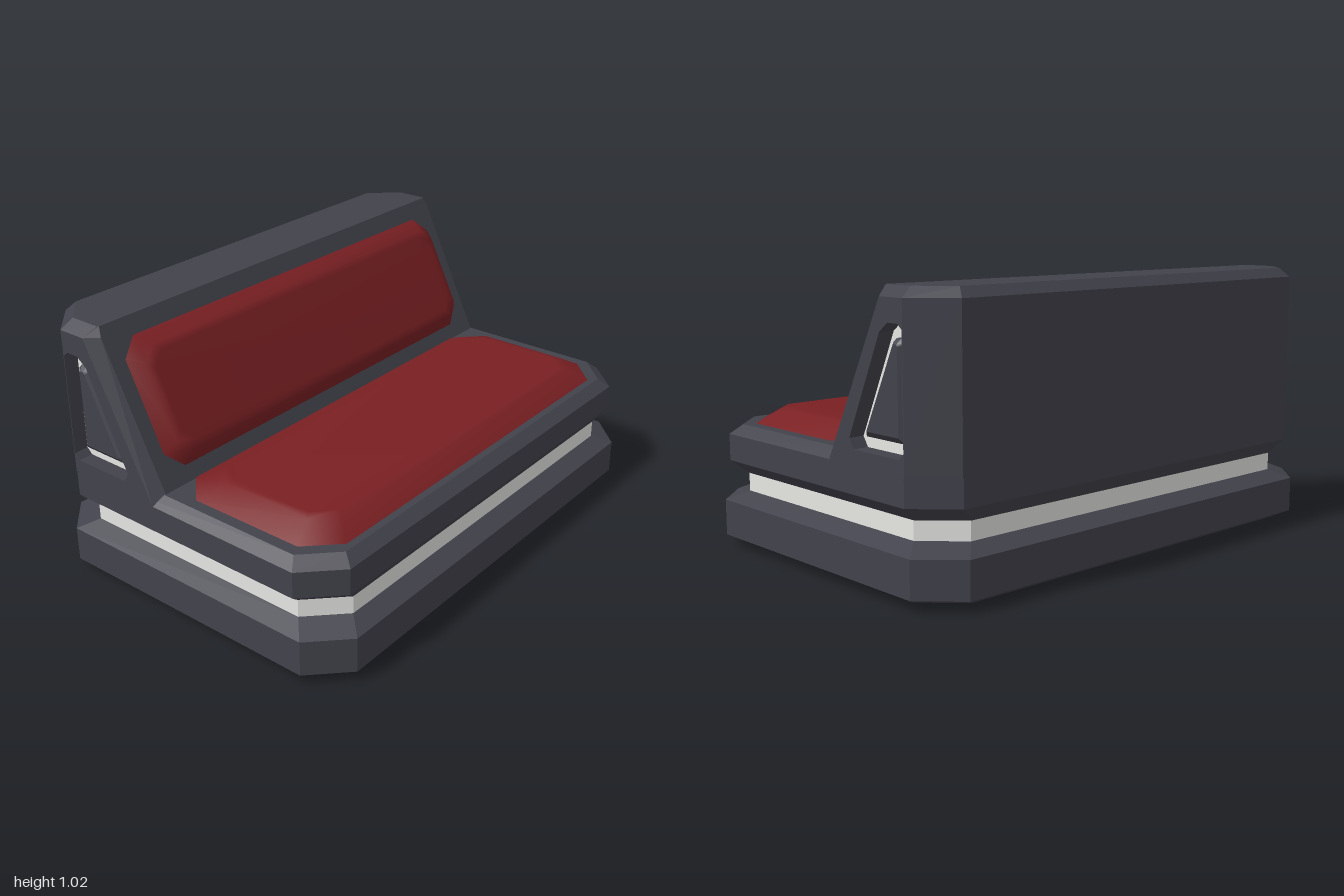
import * as THREE from 'three';

// Symmetric cross-section at height y from its +x half, listed front to back
const section = (y, half) => [
  ...half.map(([x, z]) => [x, y, z]),
  ...[...half].reverse().map(([x, z]) => [-x, y, z]),
];

// Rectangle with cut corners
const octagon = (y, hx, zFront, zBack, c) => section(y, [
  [hx - c, zFront], [hx, zFront - c], [hx, zBack + c], [hx - c, zBack],
]);

// Centred octagon ring of the body, all depths following the width
const ring = (y, hx, c = 0.13) => octagon(y, hx, hx - 0.31, 0.31 - hx, c);

// Loop of [depth, height] points on a side plane; s is the side's sign
const sideLoop = (x, s, list) => {
  const loop = list.map(([d, y]) => [x * s, y, -d]);
  return s > 0 ? loop : loop.reverse();
};

// Skin a list of sections; skip(row, side) leaves openings
function loft(sections, { bottom = false, top = false, smooth = false, skip = () => false } = {}) {
  const n = sections[0].length;
  const index = [];
  for (let r = 0; r < sections.length - 1; r++) {
    for (let i = 0; i < n; i++) {
      if (skip(r, i)) continue;
      const a = r * n + i, b = r * n + (i + 1) % n;
      index.push(a, b, b + n, a, b + n, a + n);
    }
  }
  const last = (sections.length - 1) * n;
  for (let i = 1; i < n - 1; i++) {
    if (bottom) index.push(0, i + 1, i);
    if (top) index.push(last, last + i, last + i + 1);
  }
  let geo = new THREE.BufferGeometry();
  geo.setAttribute('position', new THREE.Float32BufferAttribute(sections.flat(2), 3));
  geo.setIndex(index);
  if (!smooth) geo = geo.toNonIndexed();
  geo.computeVertexNormals();
  return geo;
}

export function createModel() {
  const group = new THREE.Group();
  const material = (name, color) => {
    const m = new THREE.MeshStandardMaterial({ color });
    m.name = name;
    return m;
  };
  const frame = material('charcoal frame', 0x42424c);
  const trim = material('pale trim', 0xe6e6e3);
  const fabric = material('red upholstery', 0x7a2023);
  const add = (name, geo, mat) => {
    const mesh = new THREE.Mesh(geo, mat);
    mesh.name = name;
    group.add(mesh);
    return mesh;
  };

  // Hollow plinth: a thin shell, inner face first
  add('base', loft([
    ring(0.21, 0.895),
    ring(0.165, 0.96),
    ring(0.05, 0.96),
    ring(0, 0.905),
    ring(0, 0.92),
    ring(0.04, 1, 0.135),
    ring(0.175, 1, 0.135),
    ring(0.21, 0.932),
    ring(0.21, 0.895),
  ]), frame);

  // Recessed pale band, also seen from inside
  add('band', loft([
    ring(0.28, 0.895), ring(0.21, 0.895), ring(0.21, 0.932), ring(0.28, 0.932),
  ]), trim);

  // Pale strip lining the inside of the plinth
  add('innerStrip', loft([ring(0.16, 0.955), ring(0.135, 0.955)]), trim);

  // Seat shell with a hollow underside
  add('seat', loft([
    ring(0.425, 0.93),
    ring(0.335, 0.955),
    ring(0.278, 0.895),
    ring(0.278, 0.932),
    octagon(0.33, 0.992, 0.657, -0.655, 0.133),
    octagon(0.43, 0.992, 0.657, -0.655, 0.133),
    octagon(0.465, 0.95, 0.615, -0.62, 0.12),
  ], { bottom: true, top: true }), frame);

  // Sloping backrest, left open where the side panels fit
  add('backrest', loft([
    section(0.43, [[0.945, -0.083], [0.992, -0.12], [0.992, -0.525], [0.862, -0.655]]),
    section(0.99, [[0.95, -0.363], [0.992, -0.41], [0.992, -0.525], [0.862, -0.655]]),
    section(1.025, [[0.94, -0.38], [0.945, -0.385], [0.945, -0.51], [0.84, -0.62]]),
  ], { top: true, skip: (r, i) => r === 0 && (i === 1 || i === 5) }), frame);

  // Side panels: pocket, pale floor and raised triangular insert
  const rim = [[0.12, 0.43], [0.12, 0.43], [0.525, 0.43], [0.525, 0.43],
    [0.525, 0.99], [0.525, 0.99], [0.41, 0.99], [0.41, 0.99]];
  const pocket = [[0.237, 0.518], [0.26, 0.483], [0.5, 0.483], [0.522, 0.505],
    [0.522, 0.893], [0.5, 0.91], [0.45, 0.91], [0.408, 0.878]];
  const insert = [[0.283, 0.525], [0.49, 0.525], [0.49, 0.845], [0.475, 0.86],
    [0.45, 0.86], [0.432, 0.845], [0.283, 0.545]];
  const insertTop = [[0.308, 0.545], [0.472, 0.545], [0.472, 0.835], [0.468, 0.842],
    [0.453, 0.842], [0.447, 0.835], [0.308, 0.552]];
  for (const s of [1, -1]) {
    const side = s > 0 ? 'left' : 'right';
    add(side + 'SidePanel', loft([
      sideLoop(0.992, s, rim), sideLoop(0.992, s, pocket), sideLoop(0.934, s, pocket),
    ]), frame);
    add(side + 'Trim', loft([sideLoop(0.934, s, pocket)], { top: true }), trim);
    add(side + 'Insert', loft([
      sideLoop(0.932, s, insert), sideLoop(0.955, s, insert), sideLoop(0.972, s, insertTop),
    ], { top: true }), frame);
  }

  // Soft seat cushion
  add('seatCushion', loft([
    octagon(0.463, 0.91, 0.59, -0.11, 0.115),
    octagon(0.515, 0.815, 0.52, -0.015, 0.08),
    octagon(0.519, 0.785, 0.49, 0.015, 0.07),
  ], { top: true, smooth: true }), fabric);

  // Soft back cushion lying on the slope
  const back = add('backCushion', loft([
    octagon(-0.004, 0.893, 0.254, -0.249, 0.07),
    octagon(0.044, 0.845, 0.205, -0.19, 0.055),
    octagon(0.047, 0.815, 0.175, -0.16, 0.05),
  ], { top: true, smooth: true }), fabric);
  back.position.set(0, 0.7425, -0.239);
  back.rotation.x = 1.107;

  return group;
}
